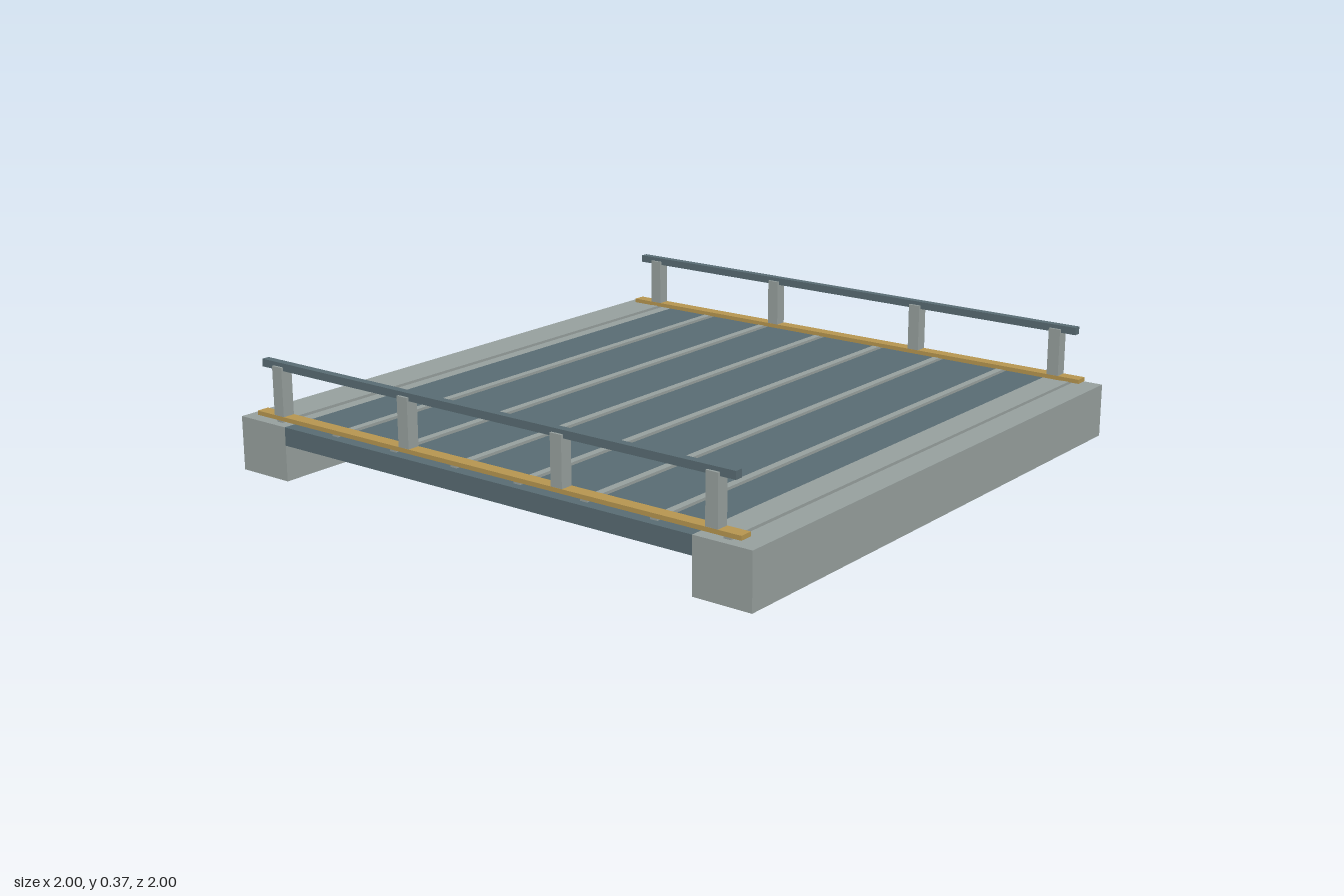
import * as THREE from 'three';

const concrete = new THREE.MeshStandardMaterial({ name: 'concrete grey', color: 0x969f9d });
const steel = new THREE.MeshStandardMaterial({ name: 'slate steel', color: 0x586b72 });
const brass = new THREE.MeshStandardMaterial({ name: 'ochre trim', color: 0xb5954f });

// Box given by its extents along each axis
function addBox(parent, name, material, [x0, x1], [y0, y1], [z0, z1]) {
  const mesh = new THREE.Mesh(new THREE.BoxGeometry(x1 - x0, y1 - y0, z1 - z0), material);
  mesh.position.set((x0 + x1) / 2, (y0 + y1) / 2, (z0 + z1) / 2);
  mesh.name = name;
  parent.add(mesh);
  return mesh;
}

const around = (centre, size) => [centre - size / 2, centre + size / 2];

export function createModel() {
  const model = new THREE.Group();
  model.name = 'bridgeDeck';

  // Deck slab resting between two full-length abutments
  addBox(model, 'deckSlab', steel, [-0.8, 0.8], [0.118, 0.178], [-1, 1]);
  addBox(model, 'rightAbutment', concrete, [-1, -0.8], [0, 0.178], [-1, 1]);
  addBox(model, 'leftAbutment', concrete, [0.8, 1], [0, 0.178], [-1, 1]);

  // Raised joint strips across the deck
  for (let i = 0; i < 8; i++) {
    addBox(model, 'jointStrip', concrete, around(-0.853 + i * 0.25, 0.025), [0.178, 0.187], [-0.972, 0.972]);
  }

  // Railings along the front and back edges
  for (const side of [1, -1]) {
    const railing = new THREE.Group();
    railing.name = side > 0 ? 'frontRailing' : 'backRailing';
    const z = side * 0.955;
    addBox(railing, 'kerbTrim', brass, [-0.95, 0.946], [0.186, 0.2], around(z, 0.043));
    addBox(railing, 'handrail', steel, [-0.924, 0.921], [0.348, 0.373], around(z, 0.026));
    for (const x of [-0.85, -0.303, 0.3, 0.847]) {
      addBox(railing, 'railPost', concrete, around(x, 0.042), [0.19, 0.36], around(z, 0.042));
    }
    model.add(railing);
  }
  return model;
}
